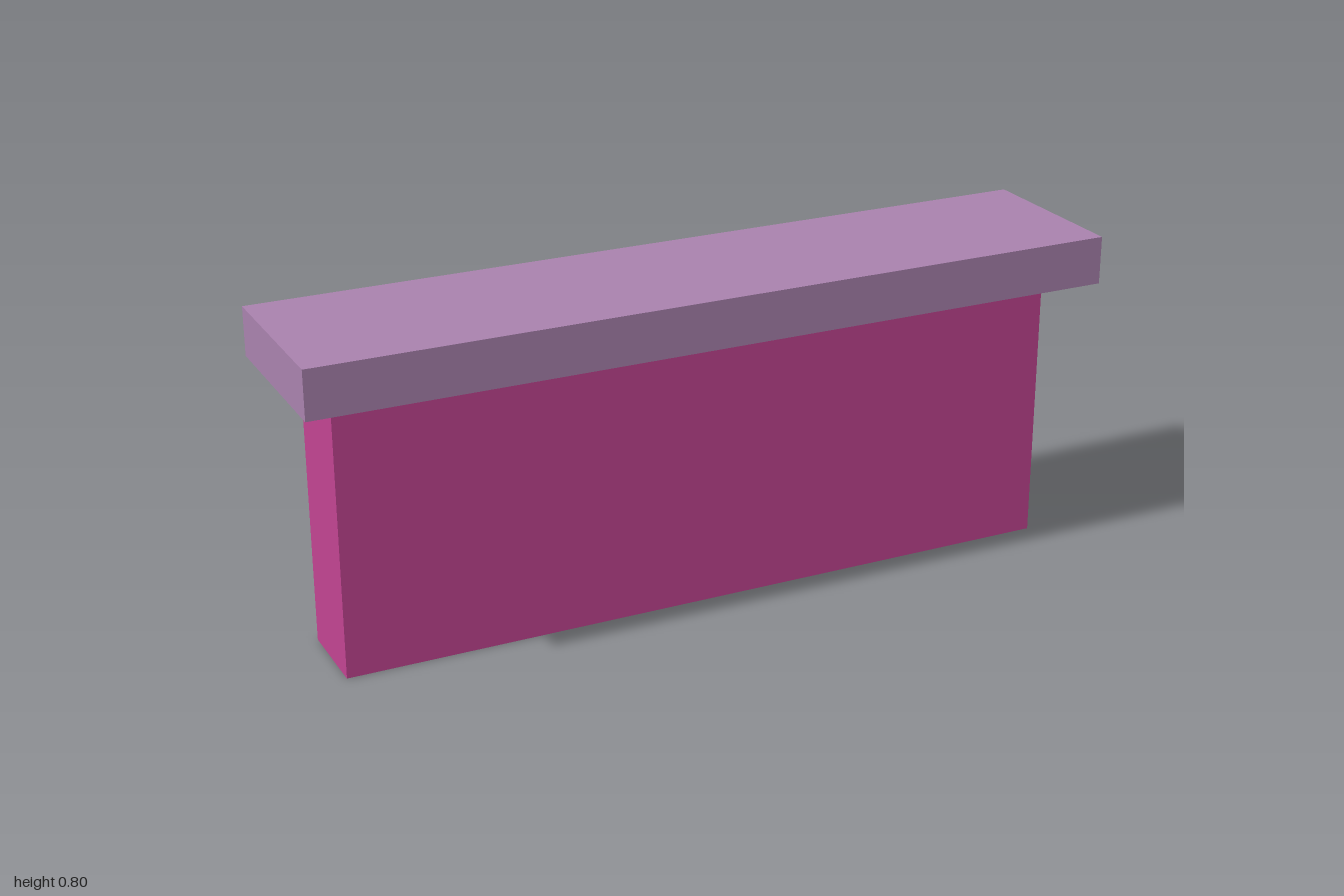
import * as THREE from 'three';

// Box resting on height y0, centred on x and z
function block(name, width, y0, y1, depth, color) {
  const geometry = new THREE.BoxGeometry(width, y1 - y0, depth);
  const mesh = new THREE.Mesh(geometry, new THREE.MeshStandardMaterial({ color }));
  mesh.position.y = (y0 + y1) / 2;
  mesh.name = name;
  return mesh;
}

export function createModel() {
  const group = new THREE.Group();
  group.name = 'counter';
  // Upright base and the overhanging slab on top of it
  group.add(block('base', 1.82, 0, 0.683, 0.21, 0xc24492));
  group.add(block('top', 2, 0.683, 0.801, 0.432, 0xa982ae));
  return group;
}
